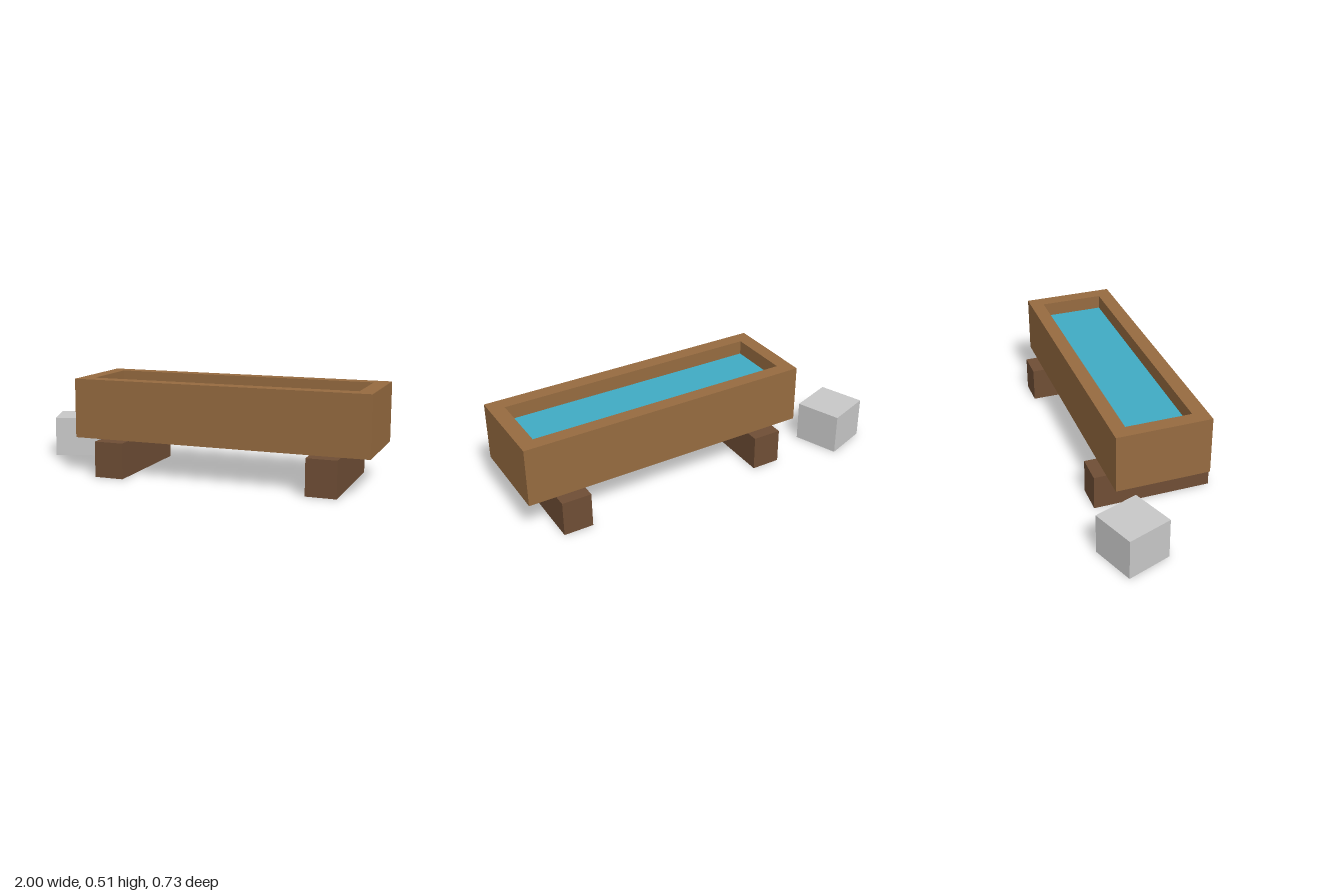
import * as THREE from 'three';

const mat = (name, color) => {
  const m = new THREE.MeshStandardMaterial({ color });
  m.name = name;
  return m;
};

// Rectangle points on the ground plane, given as x and z ranges (shape y is -z)
const rect = (x0, x1, z0, z1) => [[x0, -z1], [x1, -z1], [x1, -z0], [x0, -z0]]
  .map(([x, y]) => new THREE.Vector2(x, y));

export function createModel() {
  const wood = mat('wood', 0x966b40);
  const darkWood = mat('darkWood', 0x6f4e35);
  const waterBlue = mat('waterBlue', 0x40abc3);
  const stoneGrey = mat('stoneGrey', 0xc8c8c8);
  const model = new THREE.Group();
  model.name = 'waterTrough';

  const add = (name, geometry, material, x = 0, y = 0, z = 0) => {
    const mesh = new THREE.Mesh(geometry, material);
    mesh.name = name;
    mesh.position.set(x, y, z);
    model.add(mesh);
    return mesh;
  };

  // Trough walls: a rectangular ring, open at top and bottom
  const base = 0.192, top = 0.508;
  const ring = new THREE.Shape(rect(-0.587, 1, -0.203, 0.303));
  ring.holes.push(new THREE.Path(rect(-0.51, 0.92, -0.128, 0.223)));
  const walls = new THREE.ExtrudeGeometry(ring, { depth: top - base, bevelEnabled: false });
  walls.rotateX(-Math.PI / 2);
  add('troughWalls', walls, wood, 0, base, 0);

  // Water fills the opening to just below the rim
  const waterTop = 0.43;
  add('water', new THREE.BoxGeometry(1.43, waterTop - base, 0.351), waterBlue,
    0.205, (waterTop + base) / 2, 0.0475);

  // Two cross beams carry the trough
  for (const [name, x] of [['rightBeam', -0.363], ['leftBeam', 0.776]]) {
    add(name, new THREE.BoxGeometry(0.158, 0.19, 0.635), darkWood, x, 0.095, 0.0495);
  }

  // Loose stone block, turned slightly
  add('stoneBlock', new THREE.BoxGeometry(0.25, 0.222, 0.25), stoneGrey, -0.84, 0.111, -0.207)
    .rotation.y = THREE.MathUtils.degToRad(20);

  return model;
}
